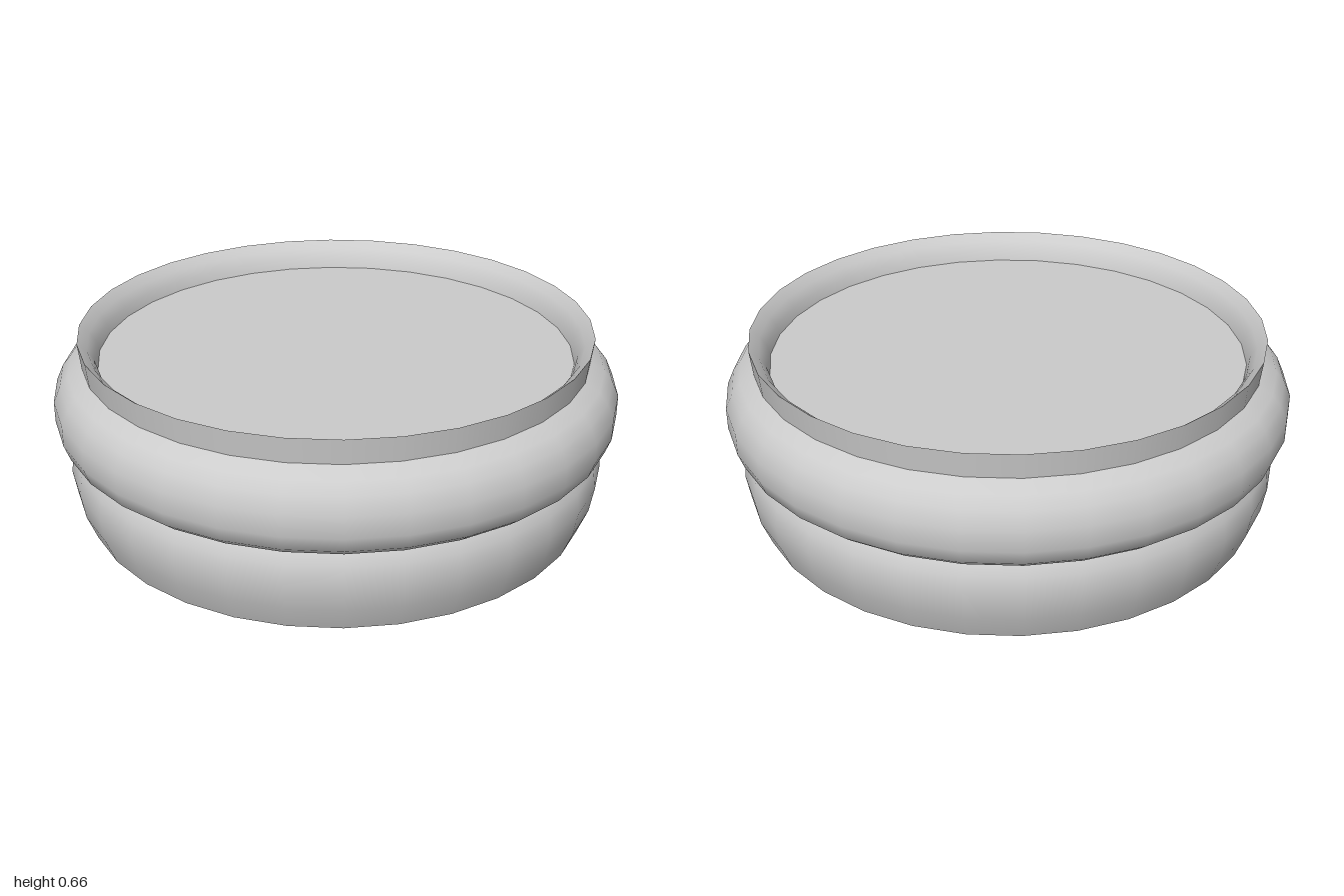
import * as THREE from 'three';

const SIDES = 32;
const material = new THREE.MeshStandardMaterial({ color: 0xcccccc });

// Revolve a profile of [radius, height] pairs, smooth within each part
function ring(name, profile) {
  const points = profile.map(([r, y]) => new THREE.Vector2(r, y));
  const mesh = new THREE.Mesh(new THREE.LatheGeometry(points, SIDES), material);
  mesh.name = name;
  return mesh;
}

// Flat horizontal disc facing up (1) or down (-1)
function disc(name, radius, y, facing) {
  const geometry = new THREE.CircleGeometry(radius, SIDES);
  geometry.rotateX(-facing * Math.PI / 2);
  const mesh = new THREE.Mesh(geometry, material);
  mesh.name = name;
  mesh.position.y = y;
  return mesh;
}

export function createModel() {
  const model = new THREE.Group();
  model.name = 'roundDish';
  model.add(
    // Underside and the two rounded bands
    disc('underside', 0.91, 0, -1),
    ring('lowerBand', [[0.91, 0], [0.945, 0.09], [0.96, 0.18], [0.95, 0.25], [0.925, 0.287]]),
    ring('upperBand', [[0.92, 0.287], [0.945, 0.295], [0.98, 0.325], [1, 0.38],
      [1, 0.455], [0.975, 0.51], [0.945, 0.547], [0.895, 0.575]]),
    // Upright lip, its sloping inside and the recessed top
    ring('lip', [[0.895, 0.575], [0.905, 0.663]]),
    ring('lipInside', [[0.905, 0.663], [0.872, 0.635], [0.85, 0.6], [0.84, 0.565]]),
    disc('recessedTop', 0.84, 0.565, 1),
  );
  return model;
}
